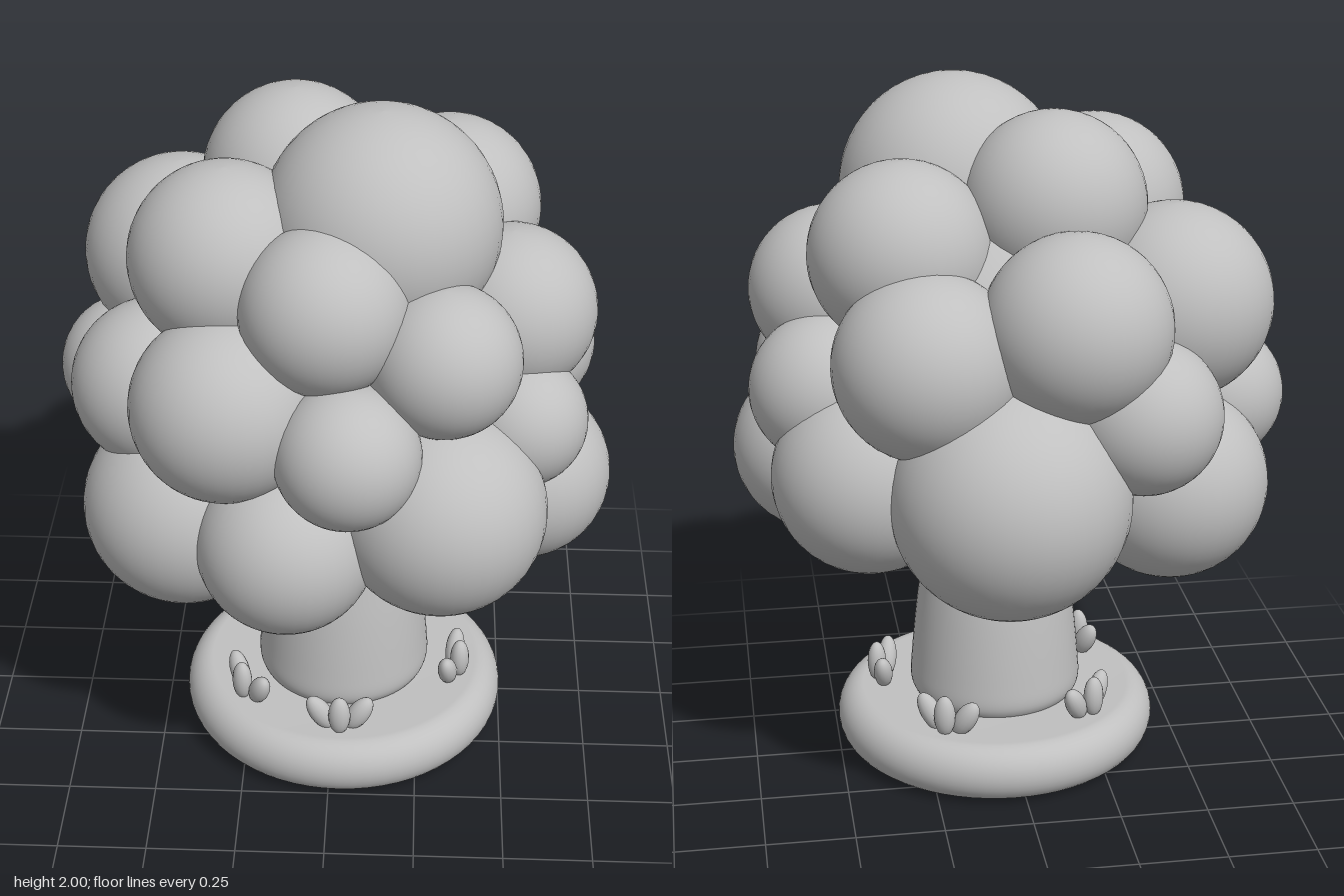
import * as THREE from 'three';

const AXIS = [0.03, 0.06]; // x, z of the trunk and base

// Foliage clumps: x, y, z, radius
const CLUMPS = [
  // crown
  [0.13, 1.68, 0.16, 0.32], [-0.11, 1.69, -0.11, 0.255], [0.31, 1.58, -0.16, 0.255],
  [-0.28, 1.6, 0.215, 0.26],
  // front
  [-0.01, 1.56, 0.42, 0.225], [0.3, 1.43, 0.44, 0.205], [-0.27, 1.28, 0.445, 0.255],
  [0.055, 1.22, 0.58, 0.195], [0.3, 0.98, 0.455, 0.288], [-0.11, 0.89, 0.505, 0.245],
  // right-hand side of the front
  [-0.4, 0.88, 0.3, 0.283], [-0.475, 1.21, 0.21, 0.235], [-0.58, 1.11, -0.06, 0.2],
  [-0.435, 1.42, -0.17, 0.275], [-0.42, 0.92, -0.24, 0.275],
  // back
  [-0.12, 1.44, -0.435, 0.255], [0.27, 1.34, -0.39, 0.255], [0.06, 0.98, -0.455, 0.328],
  [-0.3, 1.19, -0.44, 0.215],
  // left-hand side of the front
  [0.48, 1.41, 0.12, 0.235], [0.51, 1.16, 0.28, 0.185], [0.52, 1.19, -0.1, 0.212],
  [0.525, 0.925, 0.165, 0.25], [0.415, 0.98, -0.235, 0.27],
];

export function createModel() {
  const model = new THREE.Group();
  model.name = 'tree';
  const clay = new THREE.MeshStandardMaterial({ color: 0xc0c0c0 });
  clay.name = 'light grey';

  const add = (parent, name, geometry, x = 0, y = 0, z = 0) => {
    const mesh = new THREE.Mesh(geometry, clay);
    mesh.name = name;
    mesh.position.set(x, y, z);
    parent.add(mesh);
    return mesh;
  };
  const lathe = (pts, smooth) => {
    const v = pts.map(p => new THREE.Vector2(...p));
    return new THREE.LatheGeometry(smooth ? new THREE.SplineCurve(v).getPoints(32) : v, 64);
  };

  // Rounded base slab
  const slab = [[0, 0.005], [0.41, 0.005]];
  for (let i = 0; i <= 16; i++) {
    const a = -Math.PI / 2 + (i / 16) * Math.PI;
    slab.push([0.395 + 0.075 * Math.cos(a), 0.09 + 0.085 * Math.sin(a)]);
  }
  slab[1][0] = 0.38;
  slab.push([0.3, 0.172], [0, 0.172]);
  add(model, 'base', lathe(slab), AXIS[0], 0, AXIS[1]);

  // Tapered trunk
  add(model, 'trunk', lathe([
    [0.23, 0.16], [0.25, 0.2], [0.247, 0.28], [0.23, 0.45], [0.2, 0.67], [0.18, 0.95],
  ], true), AXIS[0], 0, AXIS[1]);

  // Foliage: a core wrapped in overlapping round clumps, trimmed flat underneath
  const foliage = new THREE.Group();
  foliage.name = 'foliage';
  model.add(foliage);
  add(foliage, 'foliageCore', new THREE.SphereGeometry(0.5, 40, 28), 0.03, 1.24, 0.03);
  for (const [x, y, z, r] of CLUMPS) {
    const geometry = new THREE.SphereGeometry(r, 40, 28);
    const p = geometry.attributes.position;
    for (let i = 0; i < p.count; i++) p.setY(i, Math.max(p.getY(i), 0.62 - y));
    geometry.computeVertexNormals();
    add(foliage, 'foliageClump', geometry, x, y, z);
  }

  // Grass tufts, three blades each, around the foot of the trunk
  const blade = new THREE.SphereGeometry(1, 16, 12).scale(0.032, 0.062, 0.028);
  for (const degrees of [90, 12, -58, -136, 145]) {
    const a = THREE.MathUtils.degToRad(degrees);
    const tuft = new THREE.Group();
    tuft.name = 'grassTuft';
    tuft.position.set(AXIS[0] + 0.33 * Math.cos(a), 0.17, AXIS[1] + 0.33 * Math.sin(a));
    tuft.rotation.y = Math.PI / 2 - a;
    for (const side of [-1, 0, 1]) {
      const mesh = add(tuft, 'grassBlade', blade, side * 0.055, side ? 0.045 : 0.055, side ? 0 : 0.025);
      mesh.rotation.z = -side * 0.55;
    }
    model.add(tuft);
  }
  return model;
}
